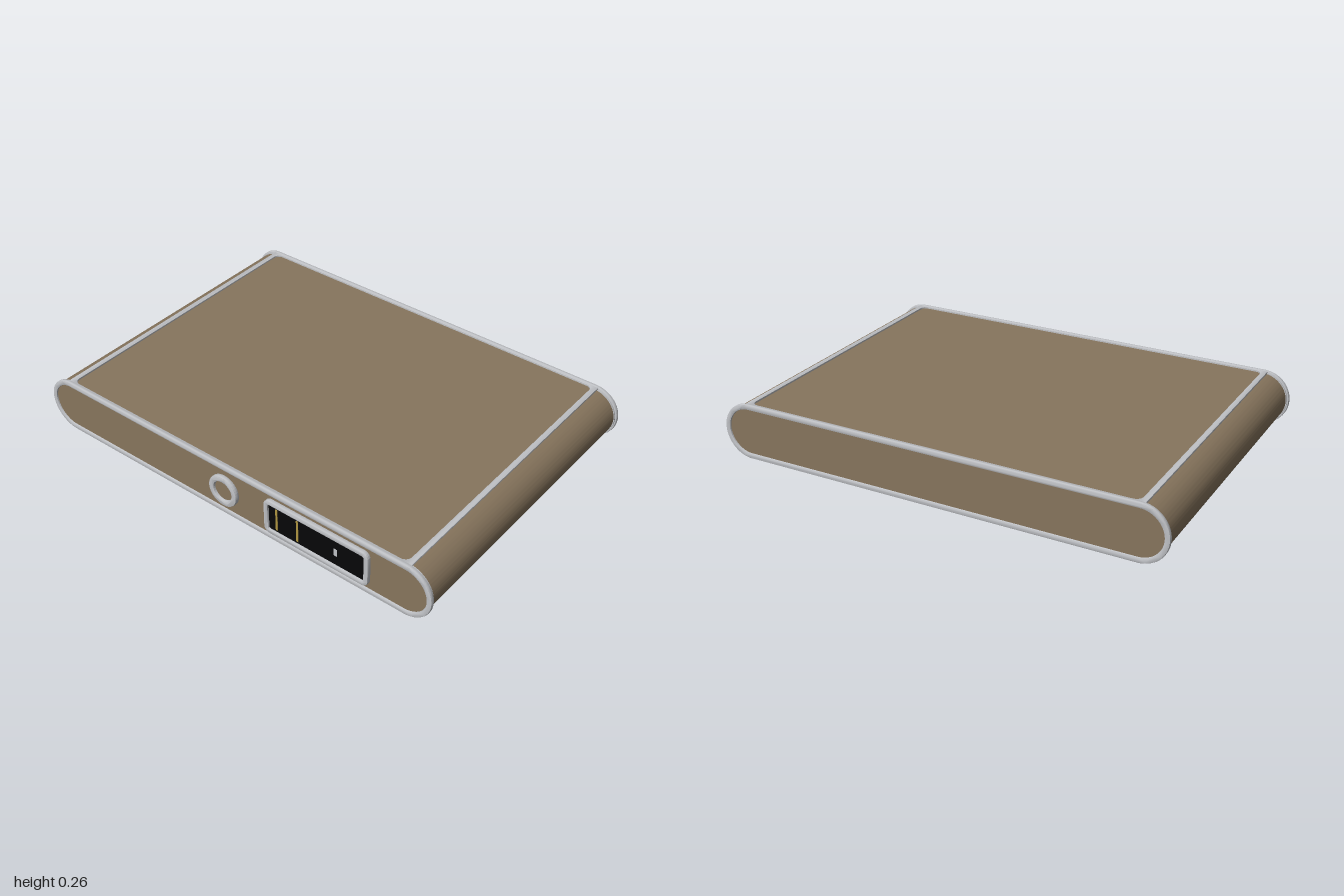
import * as THREE from 'three';
import { toCreasedNormals } from 'three/addons/utils/BufferGeometryUtils.js';

function mat(name, color) {
  const m = new THREE.MeshStandardMaterial({ color });
  m.name = name;
  return m;
}

// Rounded rectangle outline centred on (cx, cy)
function roundRect(w, h, r, cx = 0, cy = 0, Type = THREE.Shape) {
  const s = new Type(), x = w / 2 - r, y = h / 2 - r, q = Math.PI / 2;
  s.absarc(cx + x, cy + y, r, 0, q);
  s.absarc(cx - x, cy + y, r, q, 2 * q);
  s.absarc(cx - x, cy - y, r, 2 * q, 3 * q);
  s.absarc(cx + x, cy - y, r, 3 * q, 4 * q);
  s.closePath();
  return s;
}

// Rounded rectangle with a hole, leaving an even band
function ring(w, h, r, band, cx, cy) {
  const s = roundRect(w, h, r, cx, cy);
  s.holes.push(roundRect(w - 2 * band, h - 2 * band, r - band, cx, cy, THREE.Path));
  return s;
}

function extrude(shape, depth, bevel = 0) {
  const g = new THREE.ExtrudeGeometry(shape, {
    depth: depth - 2 * bevel, curveSegments: 20, bevelEnabled: bevel > 0,
    bevelSize: bevel, bevelThickness: bevel, bevelOffset: -bevel, bevelSegments: 2,
  });
  g.translate(0, 0, bevel);
  return toCreasedNormals(g, 0.6);
}

export function createModel() {
  const model = new THREE.Group();
  model.name = 'portableDevice';
  const brown = mat('brown shell', 0x87755d);
  const metal = mat('light grey metal', 0xbfc1c5);
  const black = mat('black port', 0x070708);
  const gold = mat('gold contact', 0xae9440);
  const midY = 0.1385, left = -0.687, right = 0.697;

  const add = (name, geo, material, parent = model) => {
    const m = new THREE.Mesh(geo, material);
    m.name = name;
    parent.add(m);
  };
  // Outlines drawn as (-z, y) and extruded along x
  const alongX = (shape, x0, x1, bevel) => extrude(shape, x1 - x0, bevel).rotateY(Math.PI / 2).translate(x0, 0, 0);
  const box = (x0, x1, y0, y1, z0, z1) => new THREE.BoxGeometry(x1 - x0, y1 - y0, z1 - z0)
    .translate((x0 + x1) / 2, (y0 + y1) / 2, (z0 + z1) / 2);

  // Shell with round front and back
  add('shell', alongX(roundRect(1.978, 0.228, 0.1139, 0, midY), left + 0.007, right - 0.007, 0), brown);

  // Metal rims around both ends, each with a lower inner step
  const rim = ring(2, 0.247, 0.1234, 0.023, 0, midY);
  const step = ring(1.986, 0.235, 0.1174, 0.01, 0, midY);
  add('rightRim', alongX(rim, left, left + 0.019, 0.005), metal);
  add('rightRimStep', alongX(step, left + 0.015, left + 0.025, 0), metal);
  add('leftRim', alongX(rim, right - 0.019, right, 0.005), metal);
  add('leftRimStep', alongX(step, right - 0.025, right - 0.015, 0), metal);

  // Metal frames around the top and bottom panels
  const frame = roundRect(1.366, 1.79, 0.006, 0.005, 0);
  frame.holes.push(roundRect(1.336, 1.742, 0.03, 0.005, 0, THREE.Path));
  for (const [name, y] of [['topFrame', midY + 0.112], ['bottomFrame', midY - 0.1215]]) {
    add(name, extrude(frame, 0.0095, 0.002).rotateX(-Math.PI / 2).translate(0, y, 0), metal);
  }

  // Port panel on the right end
  const panel = new THREE.Group();
  panel.name = 'portPanel';
  model.add(panel);
  const pz = 0.468;
  add('panelFrame', alongX(ring(0.506, 0.168, 0.03, 0.021, -pz, midY), -0.698, -0.676, 0.004), metal, panel);
  add('panelFace', alongX(roundRect(0.475, 0.138, 0.02, -pz, midY), -0.689, -0.677, 0), black, panel);
  for (const z of [0.275, 0.378]) {
    add('contactStrip', box(-0.691, -0.688, 0.085, 0.19, z - 0.005, z + 0.005), gold, panel);
  }
  add('panelMark', box(-0.691, -0.688, 0.122, 0.155, 0.555, 0.572), metal, panel);

  // Round button
  const button = new THREE.Group();
  button.name = 'button';
  model.add(button);
  add('buttonRing', alongX(ring(0.146, 0.146, 0.0729, 0.027, 0, midY), -0.7, -0.676, 0.007), metal, button);
  add('buttonCap', new THREE.CylinderGeometry(0.05, 0.05, 0.008, 32)
    .rotateZ(Math.PI / 2).translate(-0.684, midY, 0), brown, button);

  // Ribbed foot rail underneath
  const rail = new THREE.Group();
  rail.name = 'footRail';
  model.add(rail);
  add('railBar', box(0.505, 0.56, 0.003, 0.026, -0.88, 0.88), metal, rail);
  const count = 58;
  for (let i = 0; i < count; i++) {
    const z = -0.88 + (i + 0.5) * 1.76 / count;
    add('railRib', box(0.505, 0.56, 0, 0.004, z - 0.009, z + 0.009), metal, rail);
  }
  return model;
}
